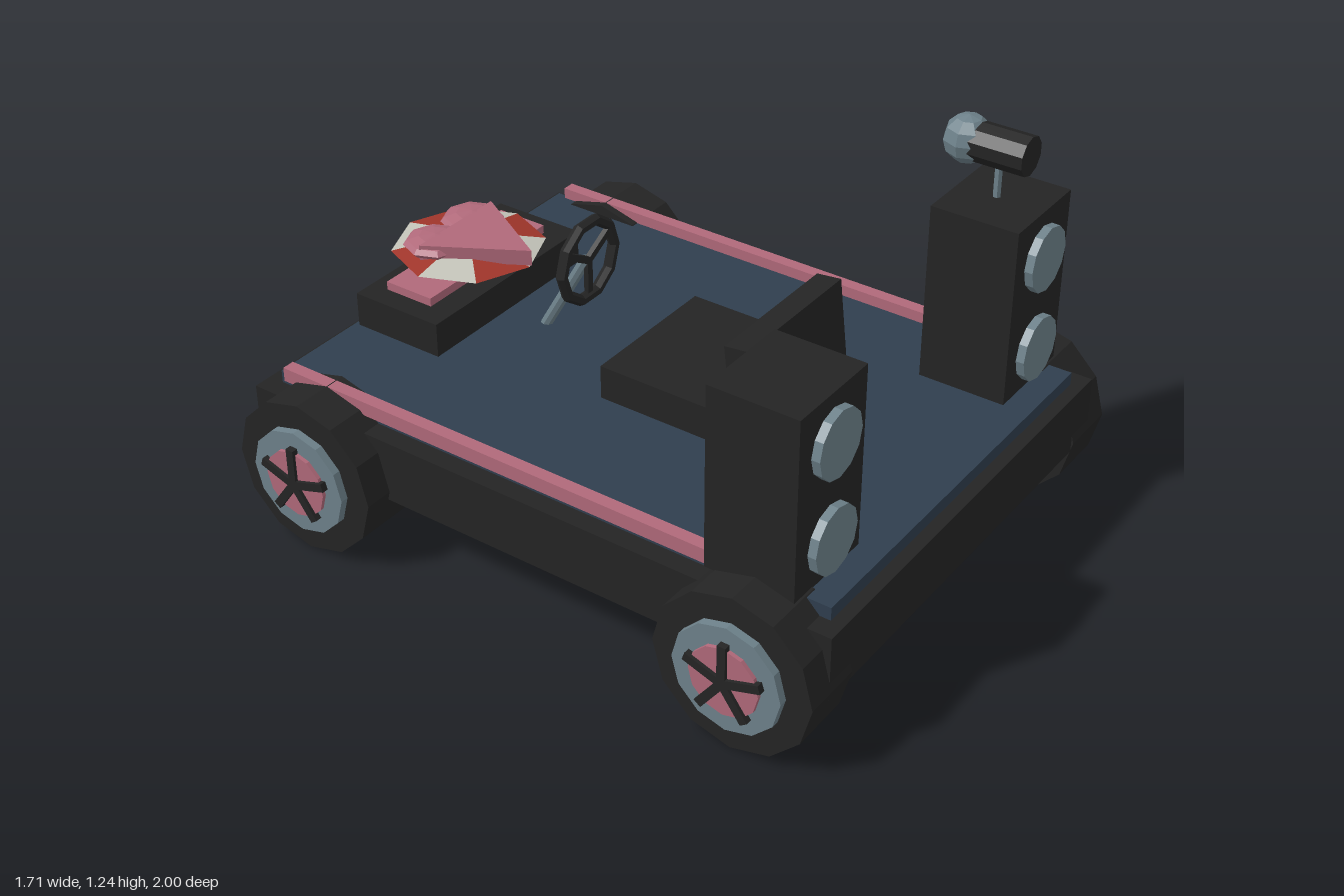
import * as THREE from 'three';

const mat = (name, color) => {
  const m = new THREE.MeshStandardMaterial({ color, flatShading: true });
  m.name = name;
  return m;
};

export function createModel() {
  const root = new THREE.Group();
  root.name = 'partyKart';
  const black = mat('black', 0x242424);
  const navy = mat('navy', 0x2f3e4e);
  const grey = mat('steelGrey', 0x6d818a);
  const pink = mat('pink', 0xb0697a);
  const red = mat('red', 0xa0352a);
  const white = mat('offWhite', 0xc2c2b8);
  red.side = white.side = THREE.DoubleSide;

  const add = (name, geo, material, x = 0, y = 0, z = 0, parent = root) => {
    const m = new THREE.Mesh(geo, material);
    m.name = name;
    m.position.set(x, y, z);
    parent.add(m);
    return m;
  };
  // Box given by its min and max on each axis
  const box = (name, material, [x0, x1], [y0, y1], [z0, z1], parent = root) =>
    add(name, new THREE.BoxGeometry(x1 - x0, y1 - y0, z1 - z0), material,
      (x0 + x1) / 2, (y0 + y1) / 2, (z0 + z1) / 2, parent);
  // Cylinder along x from x0 to x1
  const discX = (name, material, r, x0, x1, parent) => {
    const geo = new THREE.CylinderGeometry(r, r, x1 - x0, 12).rotateZ(Math.PI / 2);
    return add(name, geo, material, (x0 + x1) / 2, 0, 0, parent);
  };

  // Chassis, deck and side rails
  box('chassis', black, [-0.72, 0.72], [0.22, 0.42], [-0.985, 0.99]);
  box('deck', navy, [-0.66, 0.66], [0.42, 0.46], [-0.935, 0.95]);
  for (const s of [-1, 1]) {
    add('sideRail', new THREE.BoxGeometry(0.04, 0.045, 1.6), pink, s * 0.665, 0.473, -0.1);
  }

  // Wheels: tyre, rim, hub and five spokes
  for (const z of [0.75, -0.73]) {
    for (const s of [-1, 1]) {
      const wheel = new THREE.Group();
      wheel.name = 'wheel';
      wheel.position.set(0, 0.249, z);
      if (s < 0) wheel.rotation.y = Math.PI;
      root.add(wheel);
      discX('tyre', black, 0.247, 0.62, 0.81, wheel);
      discX('rim', grey, 0.168, 0.8, 0.835, wheel);
      discX('hub', pink, 0.108, 0.83, 0.847, wheel);
      for (let i = 0; i < 5; i++) {
        const geo = new THREE.BoxGeometry(0.02, 0.122, 0.026);
        geo.translate(0.847, 0.061, 0).rotateX(i * Math.PI * 2 / 5);
        add('spoke', geo, black, 0, 0, 0, wheel);
      }
    }
  }

  // Speaker towers with two cones each
  for (const s of [-1, 1]) {
    add('speakerCabinet', new THREE.BoxGeometry(0.31, 0.56, 0.275), black, s * 0.55, 0.74, 0.73);
    for (const y of [0.58, 0.875]) {
      const geo = new THREE.CylinderGeometry(0.1, 0.1, 0.03, 12).rotateX(Math.PI / 2);
      add('speakerCone', geo, grey, s * 0.55, y, 0.878);
    }
  }

  // Microphone on the left tower
  add('microphonePole', new THREE.CylinderGeometry(0.012, 0.012, 0.14, 6), grey, 0.55, 1.07, 0.715);
  add('microphoneHandle', new THREE.CylinderGeometry(0.06, 0.06, 0.22, 10).rotateX(Math.PI / 2),
    black, 0.55, 1.173, 0.7);
  add('microphoneHead', new THREE.SphereGeometry(0.073, 8, 6), grey, 0.55, 1.173, 0.613);

  // Seat with a tilted back
  box('seatCushion', black, [-0.235, 0.235], [0.46, 0.567], [-0.09, 0.4]);
  const back = new THREE.Group();
  back.name = 'seatBack';
  back.position.set(0, 0.65, 0.387);
  back.rotation.x = -0.115;
  root.add(back);
  box('backrest', black, [-0.235, 0.235], [-0.145, 0.145], [-0.04, 0.04], back);
  box('backrestPad', navy, [-0.178, 0.178], [-0.1, 0.11], [-0.06, -0.04], back);

  // Steering wheel and column
  const steering = new THREE.Group();
  steering.name = 'steeringWheel';
  steering.position.set(0, 0.73, -0.308);
  root.add(steering);
  add('steeringRim', new THREE.TorusGeometry(0.125, 0.018, 6, 10), black, 0, 0, 0, steering);
  for (let i = 0; i < 3; i++) {
    const geo = new THREE.BoxGeometry(0.022, 0.12, 0.016).translate(0, 0.06, 0);
    add('steeringSpoke', geo, black, 0, 0, 0, steering).rotation.z = Math.PI / 3 + i * Math.PI * 2 / 3;
  }
  const foot = new THREE.Vector3(0, 0.45, -0.475);
  const top = new THREE.Vector3(0, 0.73, -0.315);
  const column = add('steeringColumn', new THREE.CylinderGeometry(0.018, 0.018, foot.distanceTo(top), 8), grey);
  column.position.lerpVectors(foot, top, 0.5);
  column.quaternion.setFromUnitVectors(new THREE.Vector3(0, 1, 0), top.clone().sub(foot).normalize());

  // Rear plinth
  box('rearPlinth', black, [-0.34, 0.34], [0.46, 0.57], [-0.92, -0.61]);
  box('plinthTop', pink, [-0.27, 0.27], [0.57, 0.597], [-0.86, -0.69]);

  // Striped canopy of eight alternating wedges
  for (let i = 0; i < 8; i++) {
    const geo = new THREE.ConeGeometry(0.236, 0.045, 1, 1, true, i * Math.PI / 4, Math.PI / 4);
    add('canopyWedge', geo, i % 2 ? red : white, 0, 0.653, -0.765);
  }

  // Heart: three-sided prism and two flattened lobes
  add('heartPoint', new THREE.CylinderGeometry(0.196, 0.196, 0.05, 3), pink, 0, 0.664, -0.716);
  for (const s of [-1, 1]) {
    const geo = new THREE.SphereGeometry(0.098, 8, 6).scale(1, 0.3, 1);
    add('heartLobe', geo, pink, s * 0.087, 0.661, -0.822);
  }
  return root;
}
